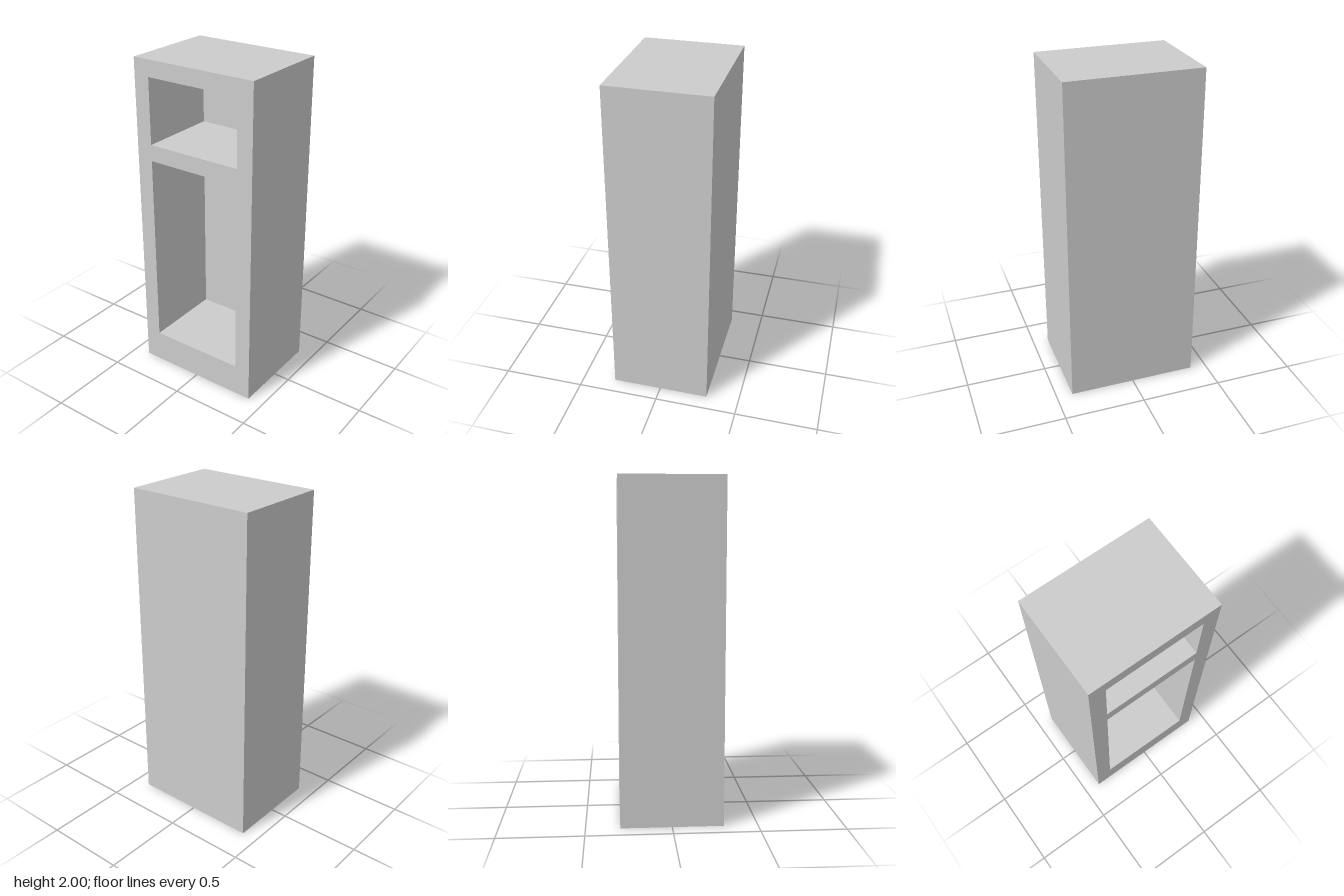
import * as THREE from 'three';

const WIDTH = 0.8, HEIGHT = 2, DEPTH = 0.6, BACK = 0.1;

// Traces a rectangle on a Shape or Path
function rect(path, x0, y0, x1, y1) {
  path.moveTo(x0, y0);
  path.lineTo(x1, y0);
  path.lineTo(x1, y1);
  path.lineTo(x0, y1);
  path.closePath();
  return path;
}

export function createModel() {
  const group = new THREE.Group();
  group.name = 'cabinet';
  const material = new THREE.MeshStandardMaterial({ color: 0xcccccc, flatShading: true });

  // Carcass: solid frame with a tall lower and a short upper compartment
  const outline = rect(new THREE.Shape(), -WIDTH / 2, 0, WIDTH / 2, HEIGHT);
  for (const [bottom, top] of [[0.2, 1.4], [1.5, 1.9]]) {
    outline.holes.push(rect(new THREE.Path(), -0.3, bottom, 0.3, top));
  }
  const frame = new THREE.Mesh(
    new THREE.ExtrudeGeometry(outline, { depth: DEPTH - BACK, bevelEnabled: false }),
    material
  );
  frame.name = 'compartmentFrame';
  frame.position.z = -DEPTH / 2 + BACK;
  group.add(frame);

  // Back panel closing both compartments
  const back = new THREE.Mesh(new THREE.BoxGeometry(WIDTH, HEIGHT, BACK), material);
  back.name = 'backPanel';
  back.position.set(0, HEIGHT / 2, -DEPTH / 2 + BACK / 2);
  group.add(back);

  return group;
}
